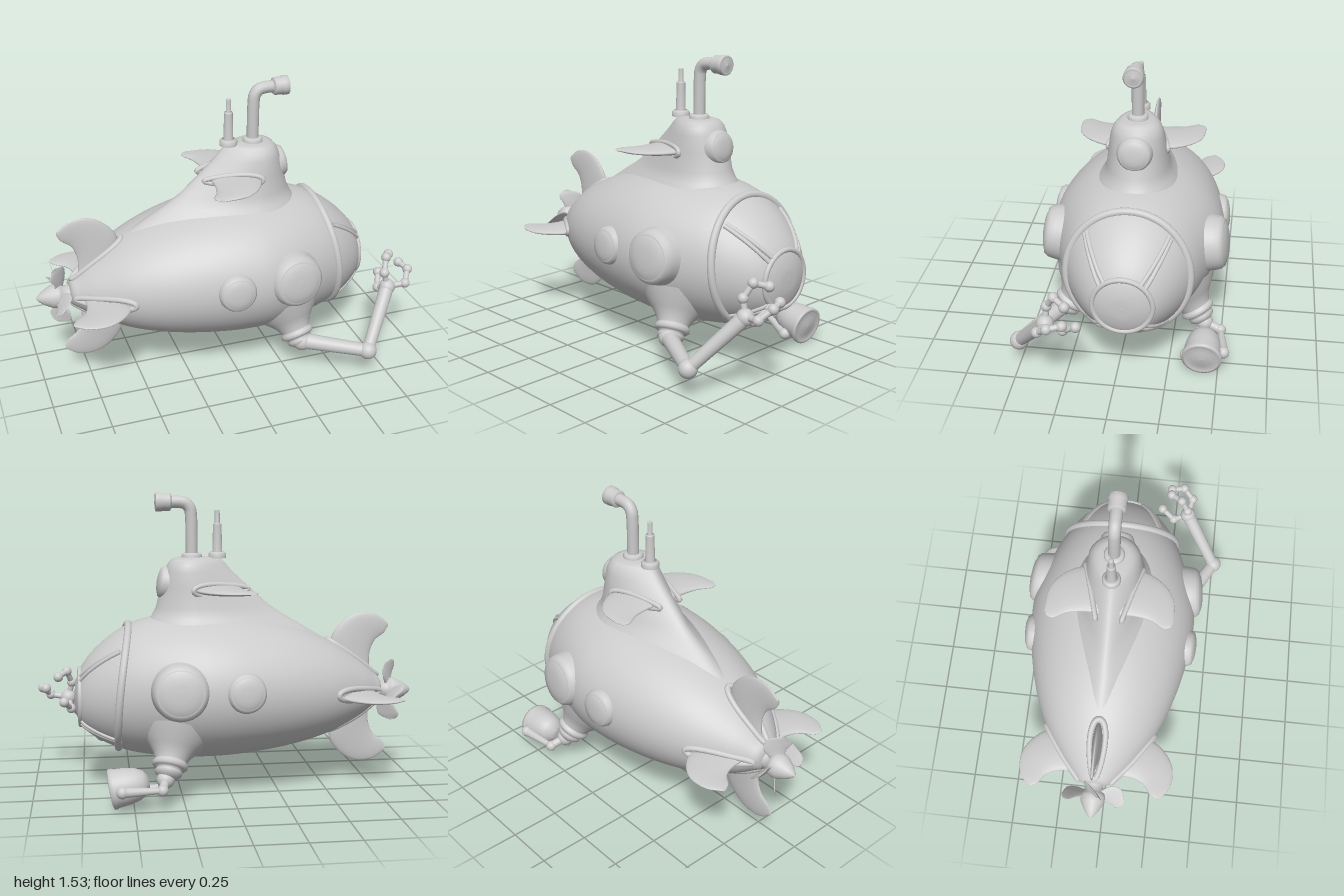
import * as THREE from 'three';

const grey = new THREE.MeshStandardMaterial({ color: 0xcccccc });
const grey2 = new THREE.MeshStandardMaterial({ color: 0xcccccc, side: THREE.DoubleSide });
const V = (x, y, z) => new THREE.Vector3(x, y, z);
const UP = V(0, 1, 0);

function add(parent, name, geo, mat = grey) {
  const m = new THREE.Mesh(geo, mat);
  m.name = name;
  parent.add(m);
  return m;
}

// Skin closed cross-sections of equal length
function loft(rings) {
  const n = rings[0].length, index = [];
  for (let i = 0; i < rings.length - 1; i++)
    for (let j = 0; j < n; j++) {
      const a = i * n + j, b = i * n + (j + 1) % n;
      index.push(a, a + n, b, b, a + n, b + n);
    }
  const g = new THREE.BufferGeometry().setFromPoints(rings.flat());
  g.setIndex(index);
  g.computeVertexNormals();
  return g;
}

// Blade with a lens section between a leading and a trailing curve
function blade(lead, trail, thick, normal) {
  const L = new THREE.CatmullRomCurve3(lead), T = new THREE.CatmullRomCurve3(trail), rings = [];
  for (let i = 0; i <= 20; i++) {
    const v = i / 20, a = L.getPoint(v), b = T.getPoint(v), ring = [];
    const mid = a.clone().lerp(b, 0.5), half = a.clone().sub(mid);
    for (let j = 0; j < 24; j++) {
      const t = j / 24 * Math.PI * 2;
      ring.push(mid.clone().addScaledVector(half, Math.cos(t))
        .addScaledVector(normal, thick * (1 - 0.85 * v) * Math.sin(t)));
    }
    rings.push(ring);
  }
  return loft(rings);
}

// Turned part: profile of [radius, height] along a direction
function turned(parent, name, profile, pos, dir) {
  const m = add(parent, name, new THREE.LatheGeometry(profile.map(p => new THREE.Vector2(...p)), 40), grey2);
  m.position.copy(pos);
  m.quaternion.setFromUnitVectors(UP, dir.clone().normalize());
  return m;
}
function rod(parent, name, a, b, r1, r2 = r1) {
  const d = b.clone().sub(a);
  return turned(parent, name, [[0, 0], [r1, 0], [r1, 0], [r2, d.length()], [r2, d.length()], [0, d.length()]], a, d);
}
function ball(parent, name, p, r) {
  add(parent, name, new THREE.SphereGeometry(r, 24, 16)).position.copy(p);
}
function pipe(parent, name, pts, r, closed = false) {
  return add(parent, name, new THREE.TubeGeometry(new THREE.CatmullRomCurve3(pts, closed), 80, r, 12, closed));
}
// Tapered bead that frames the root of a fin; at(s, w) places it on a surface
function fairing(parent, name, at, r) {
  const pts = [];
  for (let i = 0; i < 32; i++) {
    const a = i / 32 * Math.PI * 2, s = 0.5 + 0.5 * Math.cos(a);
    pts.push(at(s, Math.sin(a) * (0.02 + 0.025 * s)));
  }
  pipe(parent, name, pts, r, true);
}

// Hull stations stored as (x, centre height, half height)
const stations = new THREE.CatmullRomCurve3([
  [-.83, .49, 0], [-.82, .49, .06], [-.78, .493, .095], [-.7, .5, .155], [-.53, .515, .25], [-.3, .53, .325],
  [0, .54, .372], [.25, .54, .372], [.4, .537, .355], [.5, .53, .33], [.6, .517, .283], [.7, .5, .21],
  [.755, .487, .145], [.78, .485, .07], [.785, .485, 0]
].map(p => V(...p))).getPoints(112);

function ringPoint(s, t) {
  const wide = 1 + 0.18 * (1 - THREE.MathUtils.smoothstep(s.x, 0.1, 0.55));
  return V(s.x, s.y + s.z * Math.sin(t), s.z * wide * Math.cos(t));
}
function hullPoint(x, t) {
  let i = stations.findIndex(s => s.x > x);
  if (i < 1) i = 1;
  const a = stations[i - 1], b = stations[i];
  return ringPoint(a.clone().lerp(b, (x - a.x) / (b.x - a.x)), t);
}

export function createModel() {
  const root = new THREE.Group();
  root.name = 'submarine';
  const body = new THREE.Group();
  body.name = 'body';
  body.position.z = -0.044;
  root.add(body);
  const circle = [...Array(64).keys()].map(j => j / 64 * Math.PI * 2);

  add(body, 'hull', loft(stations.map(s => circle.map(t => ringPoint(s, t)))), grey2);

  // Nose window frame
  pipe(body, 'windowRing', circle.map(t =>
    hullPoint(0.535 - 0.03 * Math.sin(t) + 0.025 * Math.cos(t) ** 2, t)), 0.02, true);
  pipe(body, 'noseRing', circle.map(t => hullPoint(0.755, t)), 0.013, true);
  for (let k = 0; k < 4; k++) {
    const t = Math.PI * (0.27 + (k >> 1) + (k & 1) * 0.46);
    for (const o of [-0.05, 0.05])
      pipe(body, 'windowRib', [.55, .6, .65, .7, .73, .755].map(x =>
        hullPoint(x, t + o * 0.25 / (0.82 - x) * 0.5)), 0.011);
  }

  // Conning tower: levels of height, back, front, half width
  const levels = [[.78, -.5, .46, .26], [.86, -.37, .42, .21], [.9, -.3, .385, .178], [.95, -.225, .36, .158],
    [1.05, -.115, .335, .145], [1.13, -.03, .315, .132], [1.165, .0, .3, .12], [1.19, .025, .28, .1],
    [1.2, .06, .25, .075], [1.202, .15, .151, .001]];
  add(body, 'tower', loft(levels.map(([y, xb, xf, w]) => circle.map(t => {
    const c = Math.cos(t), cx = xb + (xf - xb) * 0.65;
    return V(cx + c * (c > 0 ? xf - cx : cx - xb), y, w * Math.sin(t) * (c > 0 ? 1 : 1 - 0.45 * c * c));
  }))), grey2);

  // Portholes: a mound, a groove and a domed glass
  const porthole = (name, r, h, pos, dir) => turned(body, name, [[r * 1.08, -.07], [r, -.01], [r * .95, h * .35],
    [r * .84, h * .68], [r * .8, h * .6], [r * .76, h * .72], [r * .55, h * .9], [r * .3, h * .98], [0, h]], pos, dir);
  porthole('towerPorthole', 0.088, 0.04, V(0.315, 1.07, 0), V(1, 0.15, 0));
  for (const s of [1, -1]) {
    porthole('largePorthole', 0.14, 0.055, V(0.27, 0.58, s * 0.42), V(0.08, 0.1, s));
    porthole('smallPorthole', 0.1, 0.04, V(-0.05, 0.57, s * 0.425), V(-0.06, 0.08, s));

    // Tower wings
    add(body, 'towerWing', blade(
      [V(.16, 1.04, s * .06), V(.17, 1.04, s * .15), V(.12, 1.04, s * .25), V(.04, 1.04, s * .31), V(-.08, 1.04, s * .325)],
      [V(-.08, 1.04, s * .03), V(-.075, 1.04, s * .12), V(-.09, 1.04, s * .21), V(-.125, 1.04, s * .28), V(-.115, 1.04, s * .31)],
      0.03, UP), grey2);
    fairing(body, 'towerWingFairing', (u, w) =>
      V(-0.11 + 0.29 * u, 1.04 + w * 0.85, s * (0.065 + 0.085 * u - Math.abs(w) * 0.1)), 0.013);

    // Arm sockets
    turned(body, 'shoulder', [[.19, .01], [.155, .055], [.12, .09], [.095, .12], [.08, .15], [.08, .155], [.089, .165],
      [.089, .18], [.078, .19], [.062, .192], [.068, .205], [.066, .222], [.04, .242], [0, .25]],
      V(0.28, 0.34, s * 0.24), V(0.04, -0.14, s * 0.09));
  }

  // Tail fins and their root fairings
  for (let k = 0; k < 4; k++) {
    const fin = add(body, 'tailFin', blade(
      [V(-.57, .1, 0), V(-.56, .27, 0), V(-.62, .355, 0), V(-.7, .4, 0), V(-.8, .395, 0), V(-.865, .35, 0)],
      [V(-.78, .04, 0), V(-.77, .14, 0), V(-.775, .2, 0), V(-.8, .255, 0), V(-.85, .295, 0), V(-.87, .33, 0)],
      0.03, V(0, 0, 1)), grey2);
    fin.position.y = 0.495;
    fin.rotation.x = k * Math.PI / 2;
    fairing(body, 'tailFinFairing', (s, w) => {
      const x = -0.81 + 0.27 * s, p = hullPoint(x, k * Math.PI / 2);
      return hullPoint(x, k * Math.PI / 2 + w / Math.hypot(p.y - 0.5, p.z));
    }, 0.015);
  }

  // Propeller
  const prop = new THREE.Group();
  prop.name = 'propeller';
  prop.position.set(-0.88, 0.478, 0);
  body.add(prop);
  turned(prop, 'propellerHub', [[.06, -.1], [.065, -.07], [.048, -.055], [.048, -.02], [.062, -.01], [.066, .01],
    [.06, .04], [.035, .085], [.015, .11], [0, .12]], V(0, 0, 0), V(-1, 0, 0));
  for (let k = 0; k < 4; k++)
    add(prop, 'propellerBlade', blade(
      [V(.02, .03, -.02), V(.045, .09, -.05), V(.04, .14, -.04), V(-.01, .165, .01)],
      [V(-.02, .03, .02), V(-.025, .08, .035), V(-.045, .125, .05), V(-.035, .155, .03)],
      0.012, V(.7, 0, .7)), grey2).rotation.x = k * Math.PI / 2;

  // Periscope and antenna
  turned(body, 'periscopeBase', [[.052, 0], [.052, .02], [.045, .03], [.03, .032]], V(0.175, 1.19, 0), UP);
  pipe(body, 'periscopeTube', [V(.175, 1.19, 0), V(.175, 1.3, 0), V(.177, 1.4, 0), V(.183, 1.445, 0), V(.205, 1.472, 0),
    V(.24, 1.48, 0), V(.3, 1.48, 0)], 0.031);
  turned(body, 'periscopeHead', [[0, 0], [.03, 0], [.042, .005], [.045, .01], [.045, .05], [.049, .052], [.049, .08],
    [.04, .083], [.038, .078], [0, .088]], V(0.277, 1.48, 0), V(1, 0, 0));
  turned(body, 'antenna', [[.046, 0], [.046, .02], [.038, .03], [.025, .032], [.022, .17], [.022, .175], [.013, .178],
    [.013, .24], [.01, .245], [0, .245]], V(0.043, 1.195, 0), UP);

  // Gripper arm
  const arm = new THREE.Group();
  arm.name = 'gripperArm';
  root.add(arm);
  const shoulder = V(.335, .17, .325), elbow = V(.64, .15, .497), wrist = V(.825, .405, .315);
  ball(arm, 'shoulderBall', shoulder, 0.052);
  rod(arm, 'upperArm', shoulder, elbow, 0.043, 0.034);
  ball(arm, 'elbowBall', elbow, 0.047);
  rod(arm, 'forearm', elbow, wrist, 0.031, 0.038);
  ball(arm, 'wristBall', wrist, 0.043);
  const fingers = [
    [V(.805, .49, .31), V(.83, .56, .27), V(.875, .54, .21)],
    [V(.92, .42, .335), V(.96, .47, .28), V(.94, .48, .21)],
    [V(.81, .36, .235), V(.845, .41, .165)]
  ];
  for (const f of fingers)
    f.forEach((p, i) => {
      rod(arm, 'fingerLink', i ? f[i - 1] : wrist, p, 0.015);
      ball(arm, 'fingerJoint', p, 0.026);
    });

  // Search lamp
  const lamp = new THREE.Group();
  lamp.name = 'searchLamp';
  root.add(lamp);
  const hub = V(.345, .14, -.415), joint = V(.365, .11, -.5), inner = V(.355, .1, -.4);
  ball(lamp, 'lampSocketBall', hub, 0.045);
  rod(lamp, 'lampLink', hub, joint, 0.022);
  ball(lamp, 'lampJoint', joint, 0.028);
  ball(lamp, 'lampJoint', inner, 0.028);
  const outerPivot = V(.56, .115, -.525), innerPivot = V(.53, .06, -.335);
  rod(lamp, 'lampBracket', joint, outerPivot, 0.014, 0.026);
  rod(lamp, 'lampBracket', inner, innerPivot, 0.014, 0.026);
  ball(lamp, 'lampPivot', outerPivot, 0.03);
  ball(lamp, 'lampPivot', innerPivot, 0.03);
  turned(lamp, 'lampBody', [[0, 0], [.035, .005], [.062, .025], [.08, .06], [.091, .11], [.096, .17], [.1, .172], [.1, .19],
    [.085, .194], [.08, .184], [.05, .192], [0, .197]], V(.425, .135, -.425), V(1, -.18, 0.03));

  return root;
}
